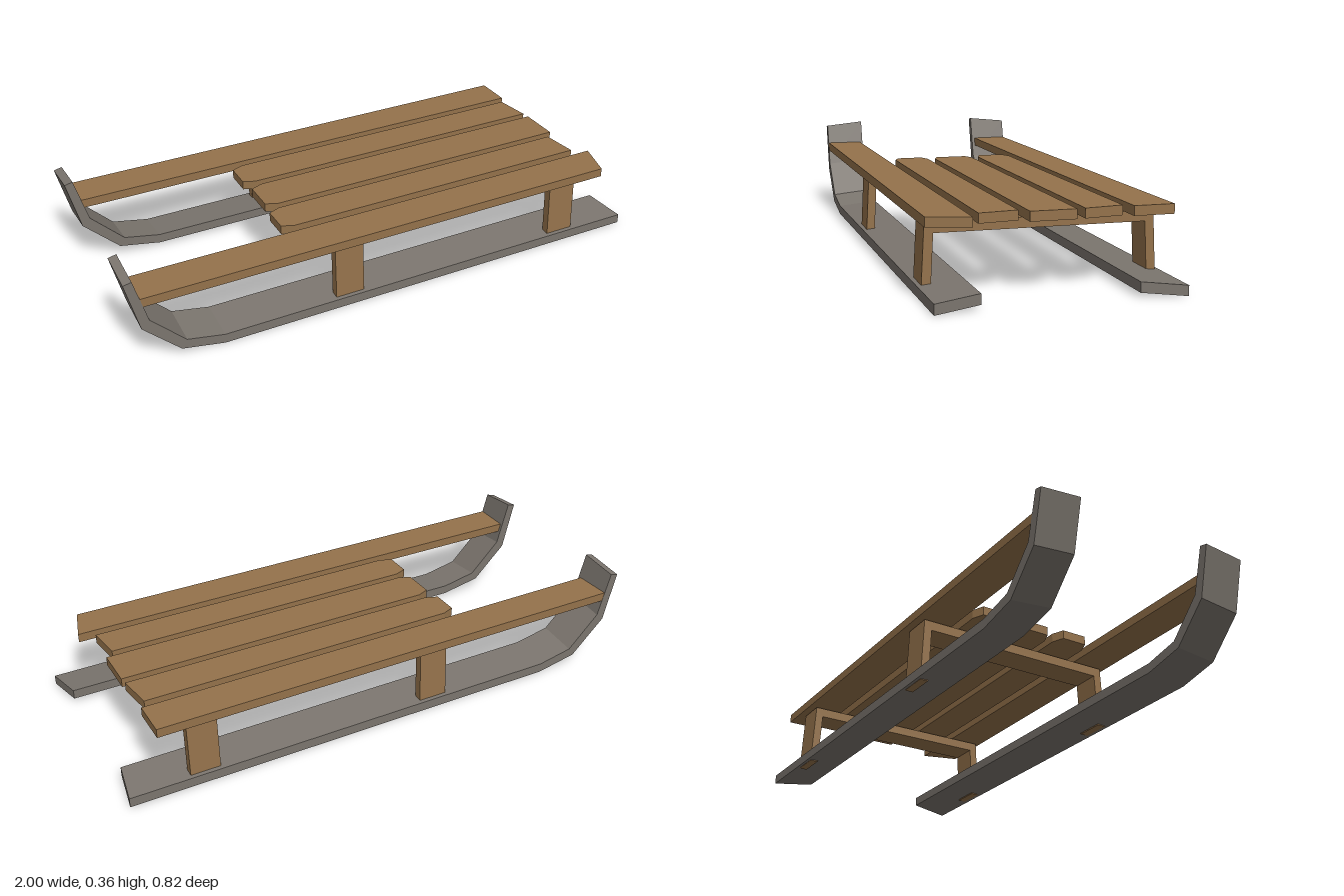
import * as THREE from 'three';

const wood = new THREE.MeshStandardMaterial({ color: 0x94724b, flatShading: true });
const metal = new THREE.MeshStandardMaterial({ color: 0x7b756e, flatShading: true });

const toShape = (pts) => new THREE.Shape(pts.map(([a, b]) => new THREE.Vector2(a, b)));
const extrude = (pts, depth) =>
  new THREE.ExtrudeGeometry(toShape(pts), { depth, bevelEnabled: false });

function addMesh(parent, name, geometry, material) {
  const mesh = new THREE.Mesh(geometry, material);
  mesh.name = name;
  parent.add(mesh);
  return mesh;
}

// Runner: side profile with a curled nose, canted so its inner edge is higher
const OUTER = 0.41, INNER = 0.258;
const runnerProfile = [
  [1, 0], [1, 0.035], [-0.67, 0.035], [-0.805, 0.062], [-0.925, 0.183], [-0.97, 0.349],
  [-1, 0.342], [-0.955, 0.157], [-0.825, 0.03], [-0.67, 0],
];

function runnerGeometry(side) {
  const g = extrude(runnerProfile, OUTER - INNER);
  g.translate(0, 0, side > 0 ? INNER : -OUTER);
  const p = g.attributes.position;
  for (let i = 0; i < p.count; i++) {
    const inward = OUTER - Math.abs(p.getZ(i));
    p.setY(i, p.getY(i) + inward * 0.1);
    if (p.getX(i) > 0.9) p.setX(i, p.getX(i) - inward * 0.17); // slanted tail cut
  }
  g.computeVertexNormals();
  return g;
}

// Trestle: crossbar with two slightly splayed legs, drawn in (z, y)
const halfTrestle = [[0.356, 0.2], [0.366, 0], [0.397, 0], [0.385, 0.235]];
const trestleProfile = [
  ...halfTrestle,
  ...halfTrestle.map(([z, y]) => [-z, y]).reverse(),
];

// Slat outlines in (x, z)
const sideSlat = (z0, z1, end0, end1) => [[-0.95, z0], [end0, z0], [end1, z1], [-0.95, z1]];
const seatSlat = (z0, z1, nose, end0, end1) => [
  [nose, z0 + 0.018], [nose + 0.045, z0], [end0, z0],
  [end1, z1], [nose + 0.045, z1], [nose, z1 - 0.018],
];
const slats = {
  rightSideSlat: sideSlat(-0.409, -0.27, 0.885, 0.885),
  leftSideSlat: sideSlat(0.27, 0.409, 0.925, 0.885),
  rightSeatSlat: seatSlat(-0.24, -0.107, -0.37, 0.863, 0.882),
  middleSeatSlat: seatSlat(-0.079, 0.076, -0.36, 0.885, 0.885),
  leftSeatSlat: seatSlat(0.104, 0.237, -0.37, 0.854, 0.87),
};

export function createModel() {
  const sled = new THREE.Group();
  sled.name = 'sled';

  addMesh(sled, 'leftRunner', runnerGeometry(1), metal);
  addMesh(sled, 'rightRunner', runnerGeometry(-1), metal);

  for (const [name, x] of [['frontTrestle', -0.24], ['rearTrestle', 0.667]]) {
    const g = extrude(trestleProfile, 0.11);
    g.rotateY(Math.PI / 2); // depth runs along +x
    addMesh(sled, name, g, wood).position.x = x;
  }

  for (const [name, outline] of Object.entries(slats)) {
    const g = extrude(outline, 0.033);
    g.rotateX(Math.PI / 2); // outline lies flat, depth runs down
    addMesh(sled, name, g, wood).position.y = 0.274;
  }
  return sled;
}
